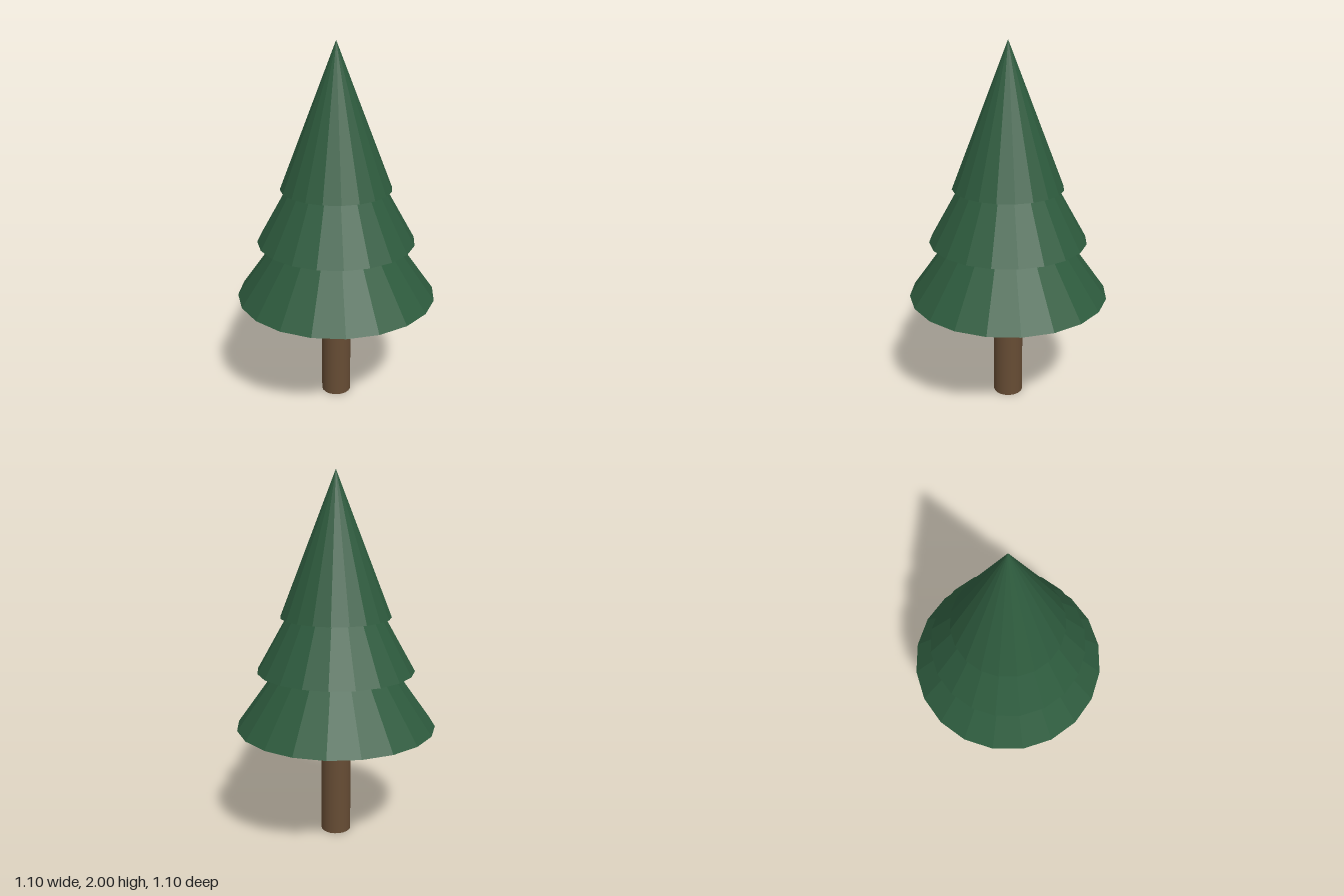
import * as THREE from 'three';

const SIDES = 20;

export function createModel() {
  const tree = new THREE.Group();
  tree.name = 'pineTree';

  const needles = new THREE.MeshStandardMaterial({ color: 0x2d5a3d });
  needles.name = 'needle green';
  const bark = new THREE.MeshStandardMaterial({ color: 0x664c34 });
  bark.name = 'bark brown';

  // Trunk, from the ground to the underside of the lowest tier
  const trunkHeight = 0.63;
  const trunk = new THREE.Mesh(
    new THREE.CylinderGeometry(0.083, 0.083, trunkHeight, SIDES), bark);
  trunk.name = 'trunk';
  trunk.position.y = trunkHeight / 2;
  tree.add(trunk);

  // Three overlapping faceted cones of equal height
  const tierHeight = 0.765;
  const tiers = [
    { name: 'lowerBranches', radius: 0.548, base: 0.63 },
    { name: 'middleBranches', radius: 0.43, base: 0.942 },
    { name: 'upperBranches', radius: 0.3, base: 1.235 },
  ];
  for (const { name, radius, base } of tiers) {
    // Non-indexed with recomputed normals, so every facet is flat
    const geometry = new THREE.ConeGeometry(radius, tierHeight, SIDES).toNonIndexed();
    geometry.computeVertexNormals();
    const tier = new THREE.Mesh(geometry, needles);
    tier.name = name;
    tier.position.y = base + tierHeight / 2;
    tree.add(tier);
  }

  return tree;
}
